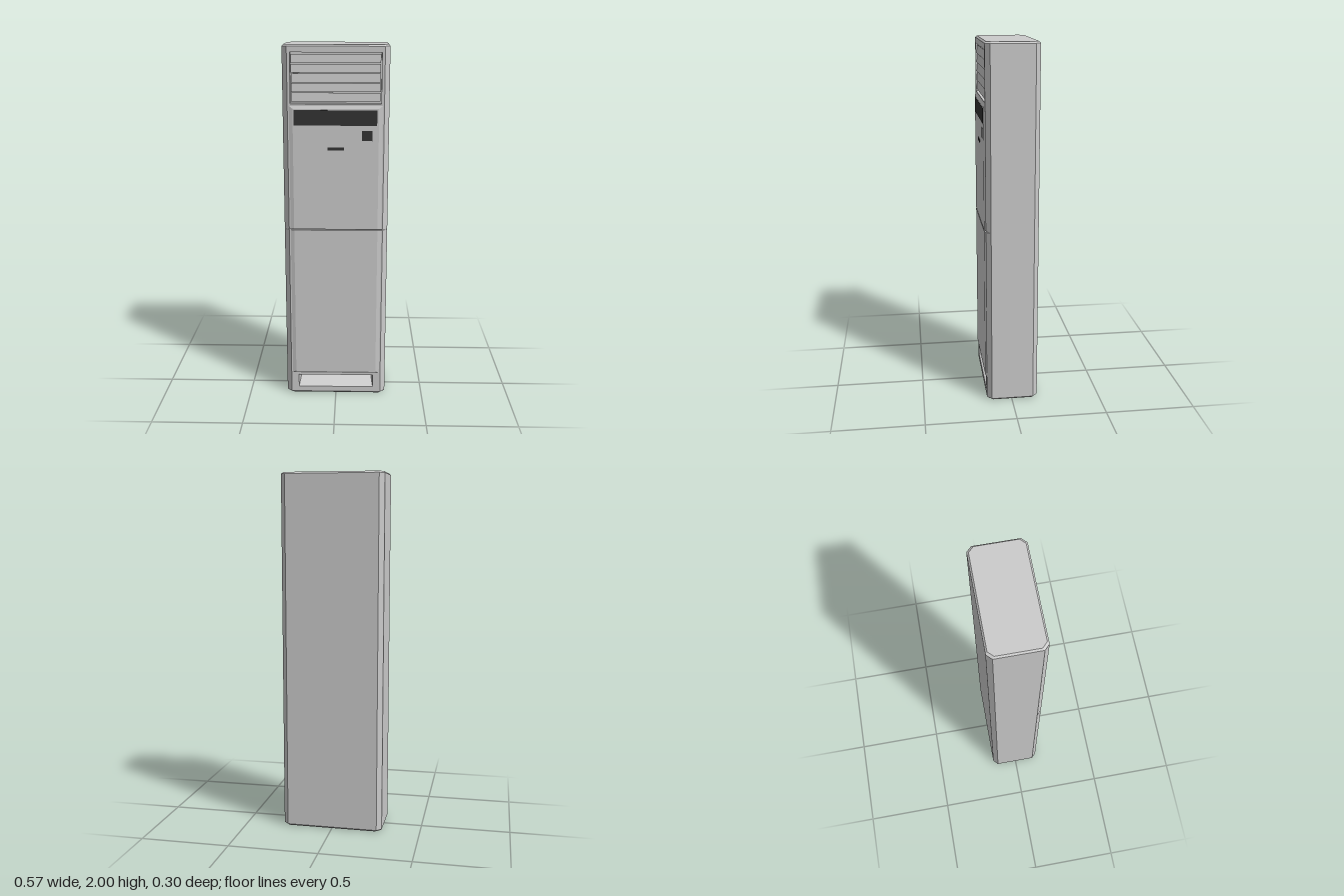
import * as THREE from 'three';

const grey = new THREE.MeshStandardMaterial({ color: 0xcccccc });
const greyDouble = new THREE.MeshStandardMaterial({ color: 0xcccccc, side: THREE.DoubleSide });
const dark = new THREE.MeshStandardMaterial({ color: 0x333333 });

const FRONT = 0.14;
const HALF_FLAT = 0.258;

// Flat-shaded geometry from a list of quads
function quadGeometry(quads) {
  const pos = [];
  for (const [a, b, c, d] of quads) pos.push(...a, ...b, ...c, ...a, ...c, ...d);
  const g = new THREE.BufferGeometry();
  g.setAttribute('position', new THREE.Float32BufferAttribute(pos, 3));
  g.computeVertexNormals();
  return g;
}

// Chamfered cross-section, counter-clockwise seen from the top, starting at the front face
function section(y, inset, frontInset) {
  const w = 0.285 - inset, f = FRONT - inset - frontInset, b = -0.148 + inset;
  const k = HALF_FLAT - inset;
  const fs = FRONT - 0.026 - inset, bs = b + 0.027;
  return [[-k, y, f], [k, y, f], [w, y, fs], [w, y, bs], [k, y, b], [-k, y, b], [-w, y, bs], [-w, y, fs]];
}

function bodyGeometry() {
  // [height, inset all round, extra inset at the front, front left open above this level]
  const levels = [
    [0, 0.008, 0], [0.009, 0, 0, true], [0.997, 0, 0], [0.997, 0, 0.008],
    [1.003, 0, 0.008], [1.003, 0, 0, true], [1.991, 0, 0], [2, 0.009, 0],
  ];
  const rings = levels.map(([y, i, f]) => section(y, i, f));
  const quads = [];
  for (let l = 0; l < rings.length - 1; l++) {
    const lo = rings[l], hi = rings[l + 1];
    for (let i = 0; i < 8; i++) {
      if (i === 0 && levels[l][3]) continue;
      const j = (i + 1) % 8;
      quads.push([lo[i], lo[j], hi[j], hi[i]]);
    }
  }
  const cap = (r) => [[r[0], r[1], r[2], r[7]], [r[7], r[2], r[3], r[6]], [r[6], r[3], r[4], r[5]]];
  quads.push(...cap(rings[rings.length - 1]));
  quads.push(...cap(rings[0]).map((q) => q.reverse()));
  return quadGeometry(quads);
}

// Flat front face with one rectangular opening
function frontFace(y0, y1, hw, h0, h1) {
  const rect = (T, w, a, b) => {
    const s = new T();
    s.moveTo(-w, a).lineTo(w, a).lineTo(w, b).lineTo(-w, b).closePath();
    return s;
  };
  const shape = rect(THREE.Shape, HALF_FLAT, y0, y1);
  shape.holes.push(rect(THREE.Path, hw, h0, h1));
  return new THREE.ShapeGeometry(shape).translate(0, 0, FRONT);
}

const rectRing = (w, y0, y1, z) => [[-w, y0, z], [w, y0, z], [w, y1, z], [-w, y1, z]];

// Four walls from one rectangle to another, closed by the second; used for recesses and raised panels
function tray(a, b) {
  const quads = [b];
  for (let i = 0; i < 4; i++) {
    const j = (i + 1) % 4;
    quads.push([a[i], a[j], b[j], b[i]]);
  }
  return quadGeometry(quads);
}

export function createModel() {
  const model = new THREE.Group();
  const add = (name, geometry, material = grey, parent = model) => {
    const mesh = new THREE.Mesh(geometry, material);
    mesh.name = name;
    parent.add(mesh);
    return mesh;
  };

  // Cabinet and its two front doors
  add('cabinet', bodyGeometry());
  add('lowerFront', frontFace(0.009, 0.997, 0.215, 0.04, 0.115));
  add('upperFront', frontFace(1.003, 1.991, 0.242, 1.692, 1.96));
  add('lowerPanel', tray(rectRing(0.25, 0.128, 0.997, FRONT), rectRing(0.23, 0.14, 0.997, 0.147)));
  add('upperPanel', tray(rectRing(0.25, 1.003, 1.682, FRONT), rectRing(0.23, 1.003, 1.667, 0.147)));

  // Air outlet with slanted louvres
  add('outletRecess', tray(rectRing(0.242, 1.692, 1.96, FRONT), rectRing(0.242, 1.692, 1.96, 0.105)), greyDouble);
  const louvres = new THREE.Group();
  louvres.name = 'louvres';
  model.add(louvres);
  for (let i = 0; i < 5; i++) {
    const slat = add('louvre', new THREE.BoxGeometry(0.474, 0.046, 0.006), grey, louvres);
    slat.position.set(0, 1.727 + i * 0.05, 0.13);
    slat.rotation.x = -0.1;
  }

  // Air intake with a rising floor and dark back
  add('intakeRecess', tray(rectRing(0.215, 0.04, 0.115, FRONT), rectRing(0.205, 0.08, 0.115, 0.06)), greyDouble);
  const grille = add('intakeGrille', new THREE.BoxGeometry(0.406, 0.032, 0.004), dark);
  grille.position.set(0, 0.098, 0.062);

  // Display, sensor window and badge plate
  for (const [name, w, h, x, y] of [
    ['display', 0.445, 0.082, -0.002, 1.619],
    ['sensorWindow', 0.055, 0.055, 0.168, 1.523],
    ['indicatorBar', 0.09, 0.017, 0, 1.453],
  ]) {
    add(name, new THREE.BoxGeometry(w, h, 0.004), dark).position.set(x, y, 0.146);
  }

  return model;
}
